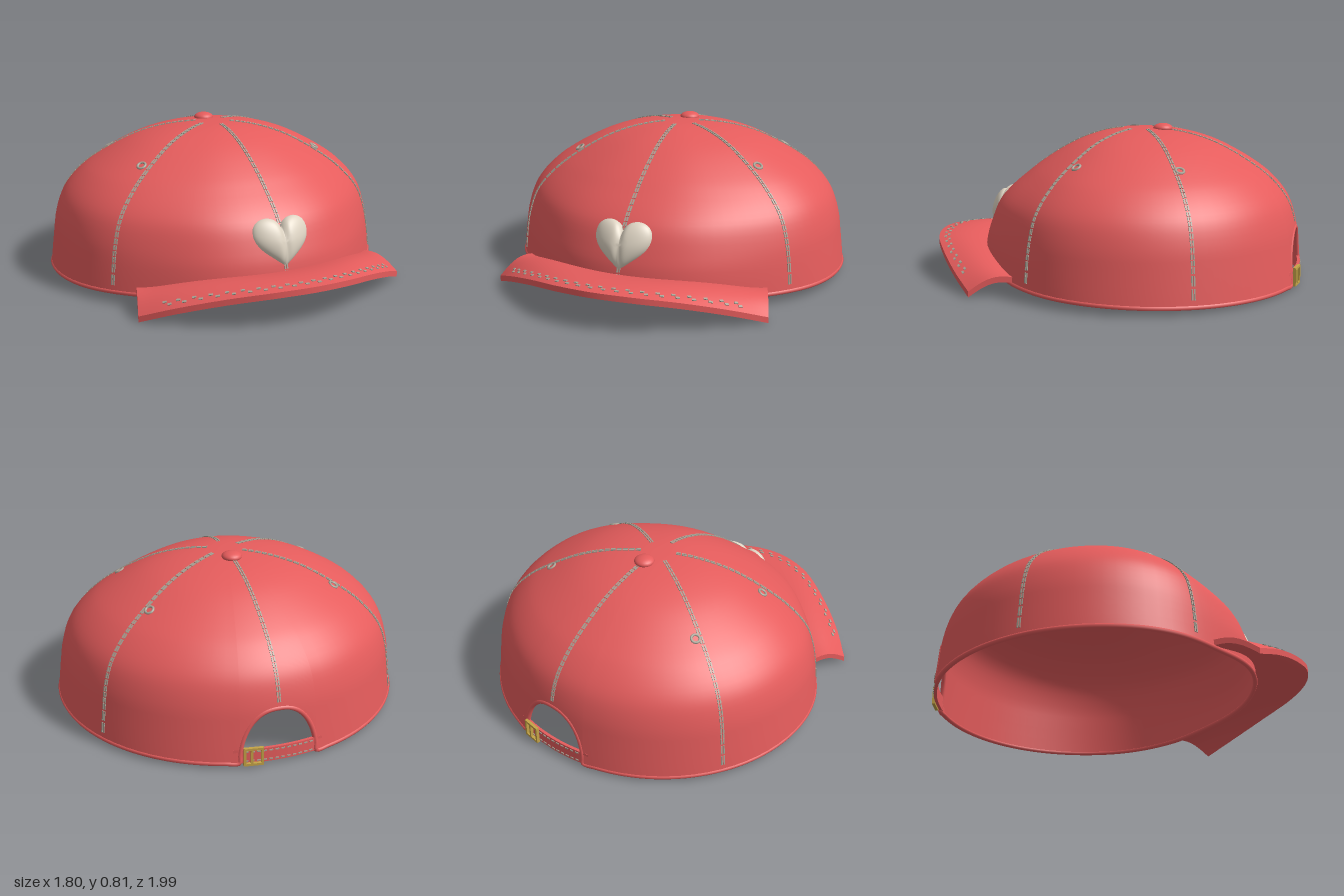
import * as THREE from 'three';
import { mergeGeometries, mergeVertices } from 'three/addons/utils/BufferGeometryUtils.js';

const V = (x, y, z) => new THREE.Vector3(x, y, z);
const lerp = THREE.MathUtils.lerp, smoothstep = THREE.MathUtils.smoothstep;
const material = (name, color) => Object.assign(new THREE.MeshStandardMaterial({ color }), { name });

const RX = 0.9, RZ = 0.855, CENTRE_Z = -0.135, GAP = 0.225, SEAM_TOP = 11 / 12;

// Crown profile: x = side/back radius factor, y = height, z = front radius factor
const profile = new THREE.CatmullRomCurve3([
  [1, 0, 0.99], [0.975, 0.2, 0.975], [0.96, 0.3, 0.94], [0.927, 0.4, 0.89], [0.88, 0.47, 0.82],
  [0.792, 0.55, 0.71], [0.715, 0.6, 0.635], [0.58, 0.67, 0.51], [0.46, 0.72, 0.4],
  [0.335, 0.755, 0.295], [0.22, 0.775, 0.21], [0.1, 0.786, 0.12], [0, 0.788, 0],
].map(p => V(...p)));

// Height of the lower edge at angle a (0 = front), with the arch cut out at the back
function baseRim(a) {
  const c = Math.cos(a);
  return 0.045 + 0.025 * c + 0.03 * smoothstep(c, 0.6, 1);
}
function rim(a) {
  const d = Math.acos(THREE.MathUtils.clamp(-Math.cos(a), -1, 1)) / GAP;
  return baseRim(a) + (d < 1 ? 0.265 * Math.sqrt(1 - d ** 2.4) : 0);
}
function tAt(y) {
  let lo = 0, hi = 1;
  for (let i = 0; i < 24; i++) {
    const m = (lo + hi) / 2;
    if (profile.getPoint(m).y < y) lo = m; else hi = m;
  }
  return lo;
}
function crownPoint(a, t, scale = 1, drop = 0) {
  const p = profile.getPoint(t), c = Math.max(0, Math.cos(a));
  let f = lerp(p.x, p.z, c * c) * scale;
  if (c > 0) f *= 1 - 0.035 * Math.sin(2 * a) ** 4;
  return V(Math.sin(a) * RX * f, p.y - drop * t * t, CENTRE_Z + Math.cos(a) * RZ * f);
}

// Surface over a grid; the front side faces du x dv
function grid(nu, nv, fn) {
  const pos = [], idx = [];
  for (let i = 0; i <= nu; i++) for (let j = 0; j <= nv; j++) pos.push(...fn(i / nu, j / nv).toArray());
  for (let i = 0; i < nu; i++) for (let j = 0; j < nv; j++) {
    const a = i * (nv + 1) + j, b = a + nv + 1;
    idx.push(a, b, a + 1, b, b + 1, a + 1);
  }
  let g = new THREE.BufferGeometry();
  g.setAttribute('position', new THREE.Float32BufferAttribute(pos, 3));
  g.setIndex(idx);
  g = mergeVertices(g, 1e-4);
  g.computeVertexNormals();
  return g;
}

// Small thread lying on a surface
function stitch(p, along, normal, length, width) {
  const x = along.clone().normalize(), z = x.clone().cross(normal).normalize(), y = z.clone().cross(x);
  return new THREE.BoxGeometry(length, 0.008, width)
    .applyMatrix4(new THREE.Matrix4().makeBasis(x, y, z).setPosition(p));
}
function crownFrame(a, t) {
  const p = crownPoint(a, t);
  const side = crownPoint(a + 0.01, t).sub(p).normalize();
  const up = crownPoint(a, t + 0.005).sub(p).normalize();
  return { p, side, up, normal: side.clone().cross(up).normalize() };
}

export function createModel() {
  const model = new THREE.Group();
  model.name = 'cap';
  const red = material('redCloth', 0xe55c5c);
  const cream = material('creamPatch', 0xded4c3);
  const thread = material('greyThread', 0xaaa396);
  const gold = material('goldMetal', 0xc4a347);
  const add = (name, geometry, mat) => {
    const m = new THREE.Mesh(geometry, mat);
    m.name = name;
    model.add(m);
    return m;
  };

  // Crown shell, with angles packed more densely around the back opening
  const angles = [];
  for (let i = 0; i < 72; i++) angles.push(lerp(GAP - Math.PI, Math.PI - GAP, i / 72));
  for (let k = 0; k <= 24; k++) angles.push(Math.PI - GAP * Math.cos(Math.PI * k / 24));
  const n = angles.length - 1, starts = angles.map(a => tAt(rim(a)));
  const shell = (scale, drop, flip) => grid(n, 36, (u, v) => {
    const i = Math.round((flip ? 1 - u : u) * n);
    return crownPoint(angles[i], lerp(starts[i], 1, v), scale, drop);
  });
  add('crown', shell(1, 0, false), red);
  add('crownLining', shell(0.978, 0.018, true), red);
  const edge = new THREE.CatmullRomCurve3(
    angles.slice(0, n).map((a, i) => crownPoint(a, starts[i], 0.99)), true, 'centripetal');
  add('rimPiping', new THREE.TubeGeometry(edge, 400, 0.013, 8, true), red);

  // Brim: inner edge follows the crown, outer edge is a drooping arc
  const outer = new THREE.CatmullRomCurve3([
    V(-0.745, 0.03, 0.585), V(-0.6, 0.092, 0.715), V(-0.4, 0.15, 0.855), V(-0.2, 0.185, 0.96), V(0, 0.195, 0.995),
    V(0.2, 0.185, 0.96), V(0.4, 0.15, 0.855), V(0.6, 0.092, 0.715), V(0.745, 0.03, 0.585)]);
  const brimPoint = (u, v, down = 0) => {
    const a = lerp(-0.9, 0.9, u), y = baseRim(a) + 0.035 + 0.045 * smoothstep(Math.cos(a), 0.6, 1);
    const p = crownPoint(a, tAt(y), 0.985).lerp(outer.getPoint(u), v);
    p.y += (0.018 + 0.015 * Math.abs(2 * u - 1) ** 3) * Math.sin(Math.PI * v) - down;
    return p;
  };
  const thick = 0.03;
  add('brim', mergeGeometries([
    grid(48, 10, (u, v) => brimPoint(u, 1 - v)),
    grid(48, 10, (u, v) => brimPoint(u, v, thick)),
    grid(48, 1, (u, v) => brimPoint(u, 1, thick * (1 - v))),
    grid(48, 1, (u, v) => brimPoint(u, 0, thick * v)),
    grid(10, 1, (u, v) => brimPoint(0, u, thick * (1 - v))),
    grid(10, 1, (u, v) => brimPoint(1, 1 - u, thick * (1 - v))),
  ]), red);
  const brimThreads = [];
  for (const [v, shift] of [[0.8, 0], [0.87, 0.35]]) for (let i = 0; i < 20; i++) {
    const u = 0.09 + 0.84 * (i + shift) / 20;
    const p = brimPoint(u, v), along = brimPoint(u + 0.01, v).sub(p);
    const normal = along.clone().cross(brimPoint(u, v - 0.05).sub(p)).normalize();
    brimThreads.push(stitch(p, along, normal, 0.02, 0.012));
  }
  add('brimStitching', mergeGeometries(brimThreads), thread);

  // Double rows of stitching along the six panel seams
  const seamThreads = [];
  for (let s = 0; s < 6; s++) {
    const a = s * Math.PI / 3, t0 = tAt(rim(a) + 0.03), count = 34;
    for (let i = 0; i < count; i++) {
      const at = k => crownFrame(a, lerp(t0, SEAM_TOP, k / count));
      const f = at(i + 0.5), length = at(i).p.distanceTo(at(i + 1).p) * 0.82;
      for (const o of [-0.006, 0.006])
        seamThreads.push(stitch(f.p.clone().addScaledVector(f.side, o), f.up, f.normal, length, 0.007));
    }
  }
  add('seamStitching', mergeGeometries(seamThreads), thread);

  // Ventilation eyelets
  for (const s of [-1, 1]) for (const [a, t] of [[1.14, 0.545], [2.14, 0.545]]) {
    const f = crownFrame(s * a, t);
    const ring = add('eyelet', new THREE.TorusGeometry(0.021, 0.007, 8, 20), thread);
    ring.position.copy(f.p);
    ring.quaternion.setFromUnitVectors(V(0, 0, 1), f.normal);
  }

  // Top button
  const button = add('topButton', new THREE.SphereGeometry(0.052, 24, 14), red);
  button.scale.y = 0.5;
  button.position.set(0, 0.787, -0.245);

  // Padded heart patch leaning back with the crown, creased along its middle
  const half = [
    new THREE.CubicBezierCurve(new THREE.Vector2(0, -0.125), new THREE.Vector2(0.04, -0.08),
      new THREE.Vector2(0.152, -0.03), new THREE.Vector2(0.152, 0.05)),
    new THREE.CubicBezierCurve(new THREE.Vector2(0.152, 0.05), new THREE.Vector2(0.152, 0.145),
      new THREE.Vector2(0.025, 0.15), new THREE.Vector2(0, 0.075)),
  ];
  const right = half.flatMap(c => c.getPoints(16).slice(0, 16));
  const left = right.slice(1).reverse().map(p => new THREE.Vector2(-p.x, p.y));
  const outline = [...right, new THREE.Vector2(0, 0.075), ...left];
  const count = outline.length;
  const heart = add('heartPatch', grid(count, 14, (u, v) => {
    const p = outline[Math.round(u * count) % count], q = v * Math.PI / 2;
    const x = p.x * Math.cos(q), y = p.y * Math.cos(q);
    const crease = 0.012 * Math.exp(-((x / 0.02) ** 2));
    return V(x, y, 0.052 * Math.sin(q) - 0.02 - 0.6 * x * x - crease);
  }), cream);
  heart.position.set(0, 0.325, 0.674);
  heart.rotation.x = -0.33;

  // Adjustable strap across the back opening
  const strapPoint = (u, y, r) => {
    const a = Math.PI + lerp(-0.26, 0.26, u);
    return V(Math.sin(a) * RX * r, y, CENTRE_Z + Math.cos(a) * RZ * r);
  };
  const lo = 0.018, hi = 0.092, out = 0.99, inn = 0.972;
  add('backStrap', mergeGeometries([
    grid(20, 1, (u, v) => strapPoint(u, lerp(lo, hi, v), out)),
    grid(20, 1, (u, v) => strapPoint(1 - u, lerp(lo, hi, v), inn)),
    grid(20, 1, (u, v) => strapPoint(u, hi, lerp(out, inn, v))),
    grid(20, 1, (u, v) => strapPoint(u, lo, lerp(inn, out, v))),
  ]), red);
  const strapThreads = [];
  for (const y of [0.031, 0.08]) for (let i = 0; i < 12; i++) {
    const u = 0.14 + 0.72 * i / 11, p = strapPoint(u, y, out);
    strapThreads.push(stitch(p, strapPoint(u + 0.01, y, out).sub(p), V(0, 0, -1), 0.018, 0.006));
  }
  add('strapStitching', mergeGeometries(strapThreads), thread);

  // Buckle frame with centre bar
  const bar = (w, h, x, y) => new THREE.BoxGeometry(w, h, 0.016).translate(x, y, 0);
  const buckle = add('buckle', mergeGeometries([
    bar(0.095, 0.012, 0, 0.042), bar(0.095, 0.012, 0, -0.042),
    bar(0.012, 0.094, -0.043, 0), bar(0.012, 0.094, 0.043, 0), bar(0.012, 0.08, 0.008, 0),
  ]), gold);
  buckle.position.set(0.135, 0.06, -0.982);
  buckle.rotation.y = -0.14;
  return model;
}
